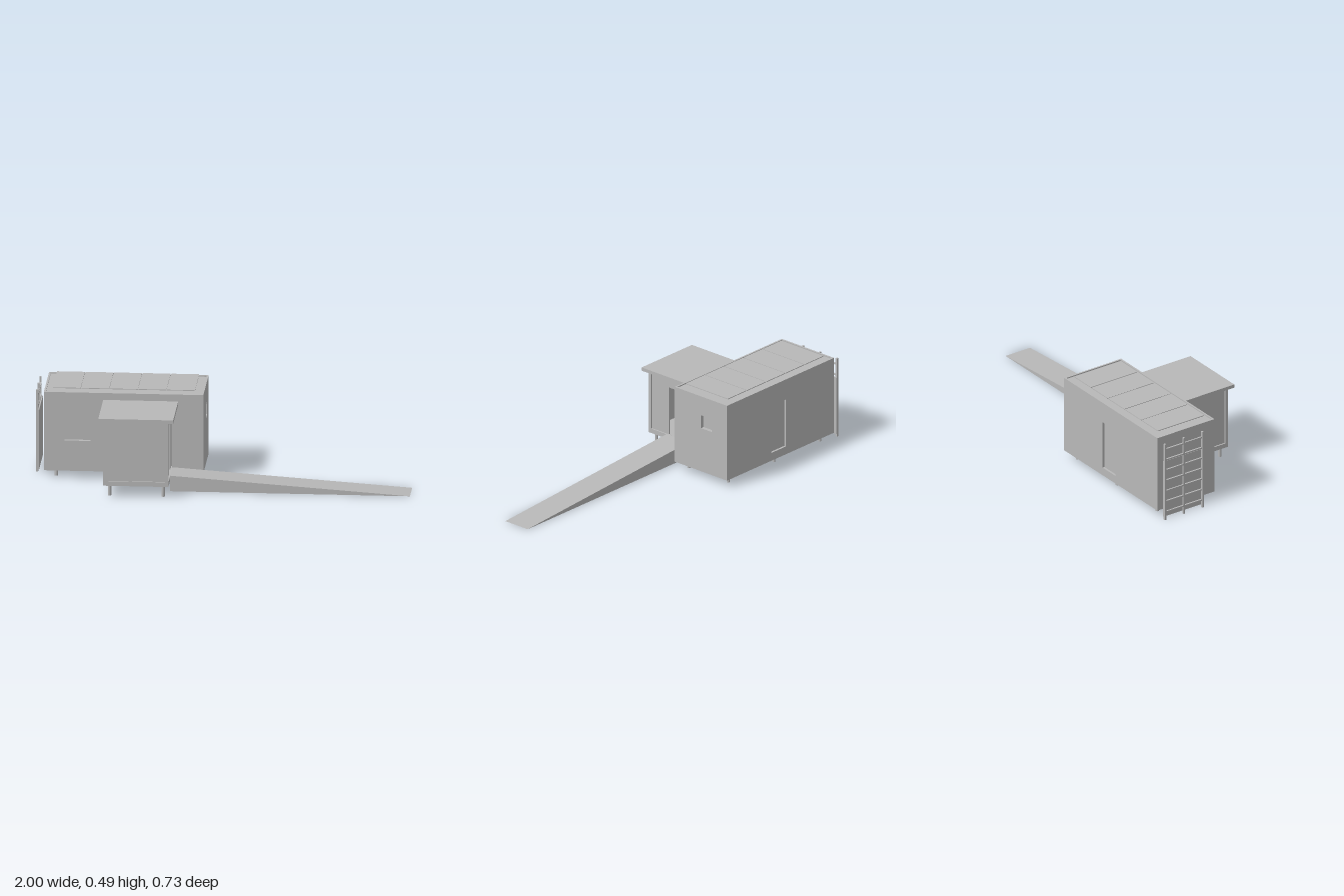
import * as THREE from 'three';

export function createModel() {
  const root = new THREE.Group();
  const grey = new THREE.MeshStandardMaterial({ color: 0xb8b8b8 });
  grey.name = 'plain grey';

  const group = (name) => {
    const g = new THREE.Group();
    g.name = name;
    root.add(g);
    return g;
  };
  const add = (parent, name, geometry) => {
    const m = new THREE.Mesh(geometry, grey);
    m.name = name;
    parent.add(m);
    return m;
  };
  // Box given by its lower and upper bounds on each axis
  const box = (parent, name, [x0, x1], [y0, y1], [z0, z1]) => {
    const m = add(parent, name, new THREE.BoxGeometry(x1 - x0, y1 - y0, z1 - z0));
    m.position.set((x0 + x1) / 2, (y0 + y1) / 2, (z0 + z1) / 2);
    return m;
  };
  const rect = (path, [a0, a1], [b0, b1]) => {
    path.moveTo(a0, b0);
    path.lineTo(a1, b0);
    path.lineTo(a1, b1);
    path.lineTo(a0, b1);
    path.closePath();
    return path;
  };
  // Rectangular slab with an optional rectangular opening, extruded along +z
  const slab = (a, b, depth, hole) => {
    const s = rect(new THREE.Shape(), a, b);
    if (hole) s.holes.push(rect(new THREE.Path(), ...hole));
    return new THREE.ExtrudeGeometry(s, { depth, bevelEnabled: false });
  };
  const leg = (parent, x, z, h) => {
    const m = add(parent, 'leg', new THREE.CylinderGeometry(0.009, 0.009, h, 12));
    m.position.set(x, h / 2, z);
  };

  // Main cabin: a core wrapped in walls, so window and door openings are recessed
  const cabin = group('cabin');
  const X = [-0.95, -0.107], Y = [0.04, 0.465], Z = [-0.362, 0.009];
  box(cabin, 'cabinCore', [X[0], X[1] - 0.02], Y, [Z[0] + 0.012, Z[1] - 0.02]);
  add(cabin, 'frontWall', slab(X, Y, 0.02, [[-0.842, -0.703], [0.206, 0.364]]))
    .position.z = Z[1] - 0.02;
  add(cabin, 'backWall', slab(X, Y, 0.012, [[-0.572, -0.455], [0.085, 0.355]]))
    .position.z = Z[0];
  const sideWall = add(cabin, 'leftWall',
    slab([0.02 - Z[1], -Z[0] - 0.012], Y, 0.02, [[0.178, 0.257], [0.288, 0.362]]));
  sideWall.rotation.y = Math.PI / 2;
  sideWall.position.x = X[1] - 0.02;

  // Low rim around the roof
  const rim = add(cabin, 'roofRim', slab(X, [-Z[1], -Z[0]], 0.006,
    [[X[0] + 0.01, X[1] - 0.01], [0.01 - Z[1], -Z[0] - 0.01]]));
  rim.rotation.x = -Math.PI / 2;
  rim.position.y = Y[1];
  for (const x of [-0.887, -0.527, -0.168])
    for (const z of [-0.037, -0.317]) leg(cabin, x, z, 0.04);

  // Row of five roof panels
  const panels = group('roofPanels');
  for (let i = 0; i < 5; i++) {
    const x = -0.905 + i * 0.151;
    box(panels, 'roofPanel', [x, x + 0.147], [0.482, 0.486], [-0.326, -0.028]);
  }

  // Entrance porch: floor, corner posts, inset walls and overhanging roof
  const porch = group('porch');
  const px = [-0.612, -0.267], pz = [0.011, 0.339], py = [0.085, 0.415], post = 0.017;
  box(porch, 'porchFloor', px, [0.06, 0.085], pz);
  box(porch, 'porchRoof', [-0.636, -0.24], [0.415, 0.434], [0.011, 0.364]);
  for (const x of [px[0], px[1] - post])
    for (const z of [pz[0], pz[1] - post])
      box(porch, 'cornerPost', [x, x + post], py, [z, z + post]);
  box(porch, 'porchFrontWall', [px[0] + post, px[1] - post], py, [0.323, 0.331]);
  box(porch, 'porchRightWall', [px[0] + 0.008, px[0] + 0.016], py, [pz[0] + post, pz[1] - post]);
  const doorWall = add(porch, 'porchDoorWall',
    slab([-pz[1] + post, -pz[0] - post], py, 0.008, [[-0.201, -0.096], [0.0855, 0.355]]));
  doorWall.rotation.y = Math.PI / 2;
  doorWall.position.x = px[1] - 0.016;
  for (const x of [-0.58, -0.297])
    for (const z of [0.31, 0.04]) leg(porch, x, z, 0.06);

  // Solid wedge ramp
  const wedge = new THREE.Shape();
  wedge.moveTo(-0.267, 0);
  wedge.lineTo(1, 0);
  wedge.lineTo(-0.267, 0.085);
  wedge.closePath();
  add(root, 'ramp', new THREE.ExtrudeGeometry(wedge, { depth: 0.158, bevelEnabled: false }))
    .position.z = 0.055;

  // Rack standing beside the cabin: backing board, posts and rails
  const rack = group('sideRack');
  box(rack, 'rackBoard', [-0.988, -0.982], [0.0155, 0.343], [-0.349, -0.096]);
  for (const z of [-0.101, -0.222, -0.344])
    box(rack, 'rackPost', [-1, -0.988], [0, 0.45], [z - 0.005, z + 0.005]);
  for (let i = 0; i < 7; i++) {
    const y = 0.04 + i * 0.062;
    box(rack, 'rackRail', [-0.997, -0.988], [y, y + 0.008], [-0.349, -0.096]);
  }
  return root;
}
